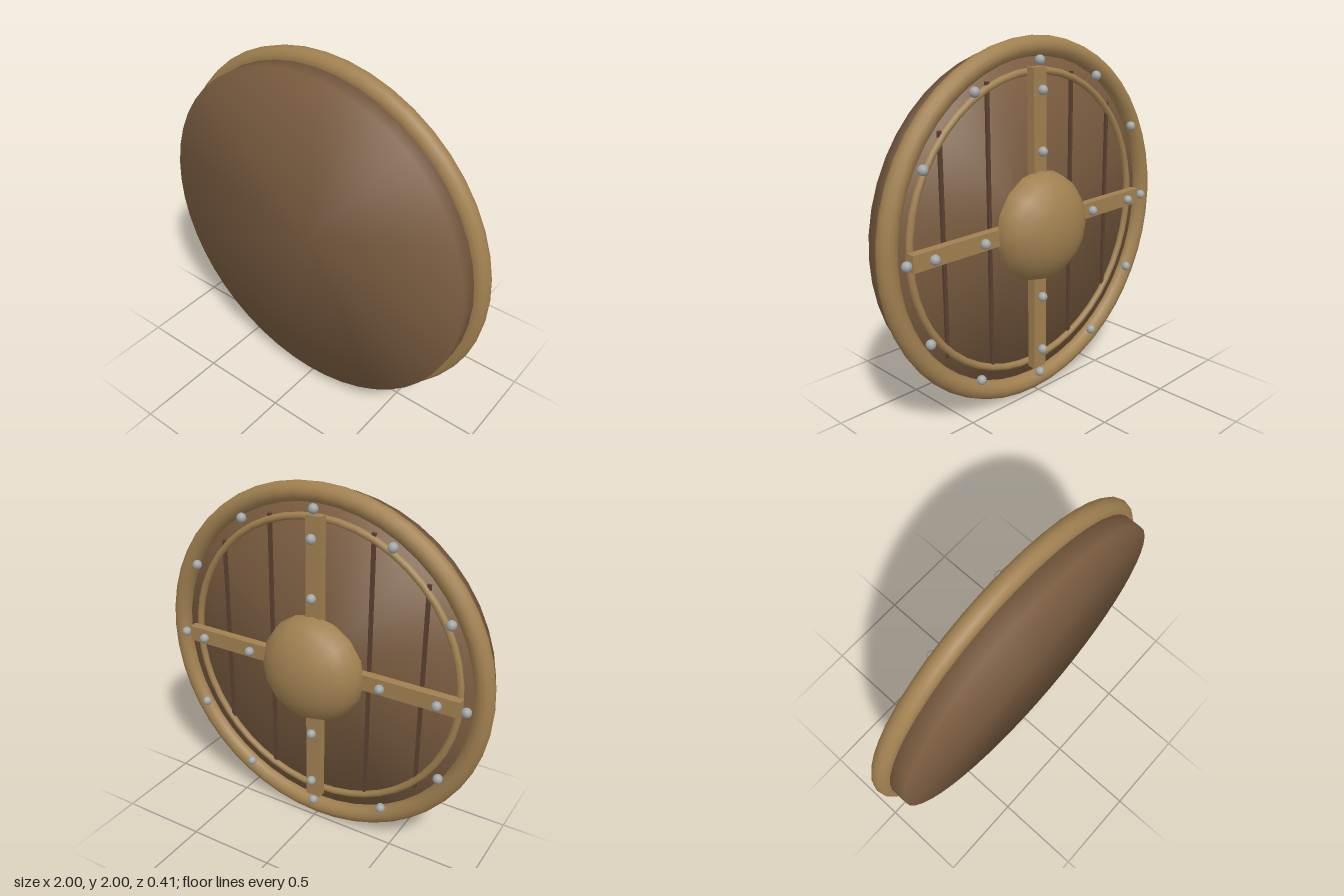
import * as THREE from 'three';

const material = (color, side = THREE.FrontSide) => new THREE.MeshStandardMaterial({ color, side });
const wood = material(0x7a5c40);
const groove = material(0x5a4030);
const bronze = material(0xa08050);
const bronzeShell = material(0xa08050, THREE.DoubleSide);
const iron = material(0xa0a5a5);

const BODY_R = 0.945;
const BACK_Z = 0.06;
const FRONT_Z = 0.2;

export function createModel() {
  const model = new THREE.Group();
  model.name = 'roundShield';
  const shield = new THREE.Group();
  shield.name = 'shield';
  shield.position.y = 1;
  model.add(shield);

  const add = (name, geometry, mat, x = 0, y = 0, z = 0) => {
    const mesh = new THREE.Mesh(geometry, mat);
    mesh.name = name;
    mesh.position.set(x, y, z);
    shield.add(mesh);
    return mesh;
  };

  // Wooden disc, with normals blended softly over the edge
  const depth = FRONT_Z - BACK_Z;
  const disc = new THREE.CylinderGeometry(BODY_R, BODY_R, depth, 48);
  const pos = disc.attributes.position;
  const n = new THREE.Vector3();
  for (let i = 0; i < pos.count; i++) {
    n.set(pos.getX(i) / BODY_R, Math.sign(pos.getY(i)), pos.getZ(i) / BODY_R).normalize();
    disc.attributes.normal.setXYZ(i, n.x, n.y, n.z);
  }
  disc.rotateX(Math.PI / 2);
  add('woodenDisc', disc, wood, 0, 0, (FRONT_Z + BACK_Z) / 2);

  // Outer rim and thin inner ring
  add('rim', new THREE.TorusGeometry(0.947, 0.053, 12, 48), bronze, 0, 0, 0.05);
  add('innerRing', new THREE.TorusGeometry(0.82, 0.02, 8, 48), bronze, 0, 0, 0.05);

  // Plank seams on the back
  for (const x of [-0.61, -0.305, 0.305, 0.61]) {
    const length = 2 * Math.sqrt(0.85 ** 2 - x ** 2);
    add('plankSeam', new THREE.BoxGeometry(0.02, length, 0.03), groove, x, 0, BACK_Z);
  }

  // Crossed straps
  add('verticalStrap', new THREE.BoxGeometry(0.09, 1.69, 0.05), bronze, 0, 0, 0.01);
  add('horizontalStrap', new THREE.BoxGeometry(1.69, 0.09, 0.05), bronze, 0, 0, 0.01);

  // Central domed boss
  const dome = new THREE.SphereGeometry(0.305, 16, 6, 0, Math.PI * 2, 0, Math.PI / 2);
  dome.rotateX(-Math.PI / 2);
  dome.scale(1, 1, 0.21 / 0.305);
  add('boss', dome, bronzeShell);

  // Rivets around the rim and along the straps
  const rivet = new THREE.SphereGeometry(0.027, 12, 8);
  const rivetRing = (count, radius, z, name) => {
    for (let i = 0; i < count; i++) {
      const a = (i / count) * Math.PI * 2;
      add(name, rivet, iron, radius * Math.cos(a), radius * Math.sin(a), z);
    }
  };
  rivetRing(12, 0.88, -0.012, 'rimRivet');
  rivetRing(4, 0.73, -0.034, 'outerStrapRivet');
  rivetRing(4, 0.41, -0.034, 'innerStrapRivet');

  return model;
}
